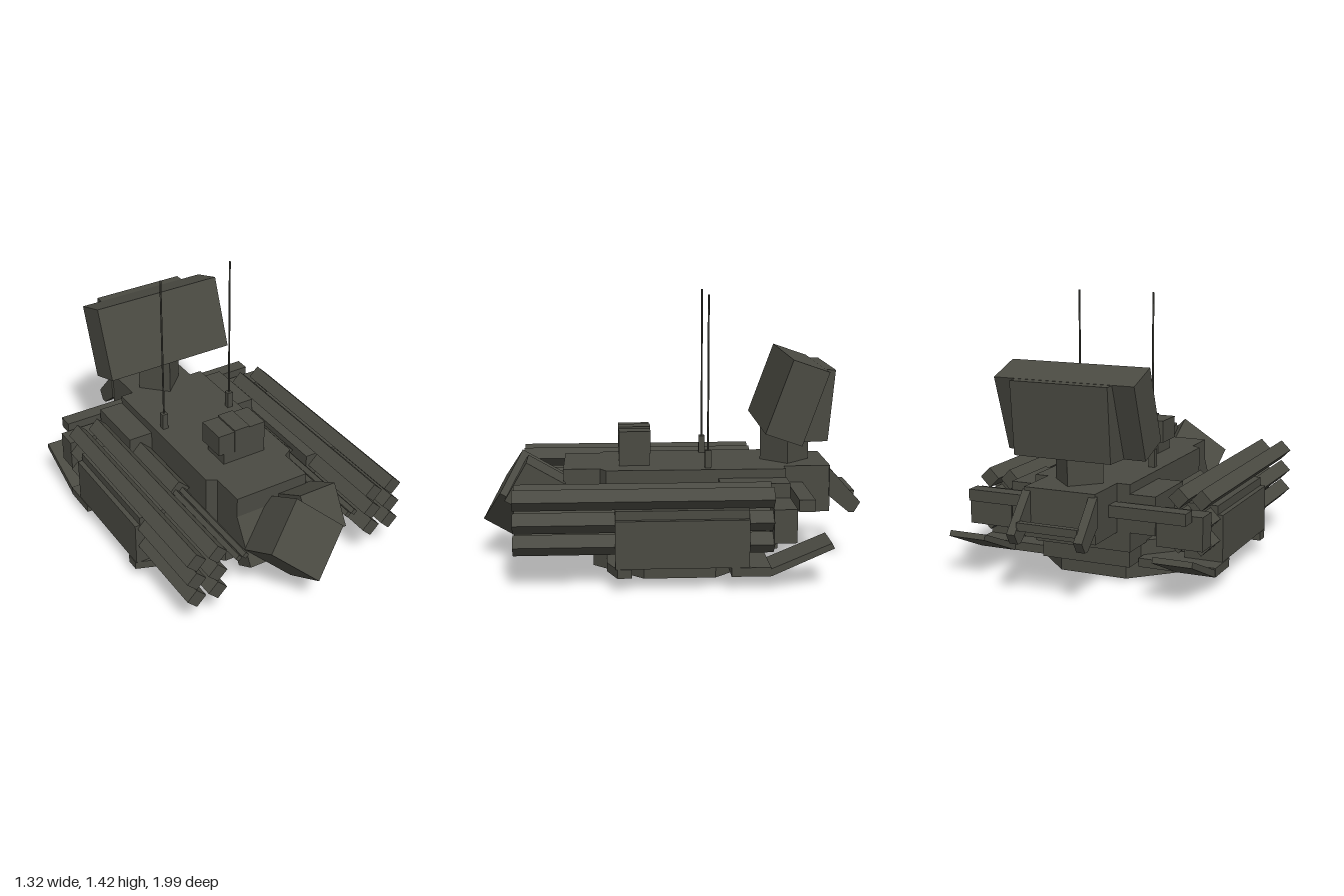
import * as THREE from 'three';

export function createModel() {
  const root = new THREE.Group();
  const olive = new THREE.MeshStandardMaterial({ color: 0x4a4a42 });
  olive.name = 'dark olive paint';

  const add = (name, geometry) => {
    const m = new THREE.Mesh(geometry, olive);
    m.name = name;
    root.add(m);
    return m;
  };
  // box given by its limits on each axis
  const box = (name, x0, x1, y0, y1, z0, z1) => {
    const m = add(name, new THREE.BoxGeometry(Math.abs(x1 - x0), y1 - y0, z1 - z0));
    m.position.set((x0 + x1) / 2, (y0 + y1) / 2, (z0 + z1) / 2);
    return m;
  };
  const extrude = (points, depth, hole) => {
    const shape = new THREE.Shape(points.map(p => new THREE.Vector2(p[0], p[1])));
    if (hole) shape.holes.push(new THREE.Path(hole.map(p => new THREE.Vector2(p[0], p[1]))));
    return new THREE.ExtrudeGeometry(shape, { depth, bevelEnabled: false });
  };
  // side profile of [z, y] points, extruded across x
  const sideProfile = (name, pts, x0, x1) => {
    const lo = Math.min(x0, x1), hi = Math.max(x0, x1);
    const g = extrude(pts.map(([z, y]) => [-z, y]), hi - lo).rotateY(Math.PI / 2);
    return add(name, g.translate(lo, 0, 0));
  };
  // plan outline of [x, z] points, extruded upward; a hole runs the other way round
  const plan = (name, pts, y0, y1, hole) => {
    const flip = a => a.map(([x, z]) => [x, -z]);
    const g = extrude(flip(pts), y1 - y0, hole && flip(hole).reverse()).rotateX(-Math.PI / 2);
    return add(name, g.translate(0, y0, 0));
  };
  // square tube standing on its edge, running along z
  const diamondTube = (name, x, y, half, z0, z1) => {
    const side = half * Math.SQRT2;
    const m = add(name, new THREE.BoxGeometry(side, side, z1 - z0));
    m.position.set(x, y, (z0 + z1) / 2);
    m.rotation.z = Math.PI / 4;
  };
  const octagon = (r, cz) => Array.from({ length: 8 }, (_, i) => {
    const a = (i + 0.5) * Math.PI / 4, R = r / Math.cos(Math.PI / 8);
    return [R * Math.cos(a), cz + R * Math.sin(a)];
  });

  // Turret ring with a recess underneath
  plan('turretRing', octagon(0.44, -0.03), 0, 0.12, octagon(0.2, -0.03));
  plan('turretRingTop', octagon(0.44, -0.03), 0.12, 0.19);

  // Hull
  plan('hull', [[-0.26, -0.59], [0.26, -0.59], [0.26, 0.34], [0.21, 0.37], [0.21, 0.56],
    [-0.21, 0.56], [-0.21, 0.37], [-0.26, 0.34]], 0.18, 0.522);
  box('lowerRearHull', -0.24, 0.24, 0.09, 0.27, -0.555, -0.2);
  box('rearHull', -0.19, 0.19, 0.275, 0.522, -0.835, -0.58);
  box('crossBar', -0.59, 0.59, 0.375, 0.435, -0.69, -0.61);

  // Tilted front sensor with its mount and side unit
  const tilted = (name, w, h, d, x, y, z, roll) => {
    const m = add(name, new THREE.BoxGeometry(w, h, d));
    m.position.set(x, y, z);
    m.rotation.set(-Math.PI / 6, 0, roll);
  };
  tilted('sensorHead', 0.306, 0.306, 0.28, 0, 0.33, 0.765, Math.PI / 4);
  tilted('sensorMount', 0.42, 0.33, 0.13, 0, 0.285, 0.557, 0);
  tilted('sensorSideUnit', 0.21, 0.23, 0.23, 0.147, 0.41, 0.705, 0);

  // Roof sight
  box('sightPedestal', -0.11, 0.14, 0.52, 0.585, 0.11, 0.27);
  box('sightHousing', -0.14, 0.14, 0.585, 0.703, 0.105, 0.27);
  box('sightCap', -0.045, 0.045, 0.58, 0.712, 0.103, 0.273);

  // Radar on its square mast, set corner forward
  const mast = add('radarMast', new THREE.CylinderGeometry(0.13, 0.13, 0.25, 4).toNonIndexed());
  mast.geometry.computeVertexNormals();
  mast.position.set(0, 0.635, -0.618);
  sideProfile('radarPanel', [[-0.605, 1.102], [-0.79, 1.038], [-0.655, 0.66], [-0.467, 0.725]], -0.37, 0.37);
  sideProfile('radarBack', [[-0.785, 1.037], [-0.84, 1.035], [-0.805, 0.665], [-0.65, 0.66]], -0.257, 0.257);

  // Rear frame
  box('rearFrameBar', -0.16, 0.16, 0.34, 0.38, -0.97, -0.935);

  for (const s of [-1, 1]) {
    sideProfile('rearFrameArm', [[-0.83, 0.51], [-0.997, 0.325], [-0.965, 0.272], [-0.935, 0.272], [-0.83, 0.36]],
      s * 0.155, s * 0.2);

    // Antenna
    box('antennaBase', s * 0.207 - 0.016, s * 0.207 + 0.016, 0.52, 0.615, -0.206, -0.174);
    const rod = add('antennaRod', new THREE.CylinderGeometry(0.005, 0.005, 0.81, 6));
    rod.position.set(s * 0.207, 1.013, -0.19);

    // Floor plates and rear flap
    plan('frontFloorPlate', [[s * 0.25, 0.22], [s * 0.25, 0.34], [s * 0.53, 0.34], [s * 0.66, 0.29], [s * 0.66, 0.22]], 0.07, 0.115);
    box('rearFloorPlate', s * 0.25, s * 0.66, 0.07, 0.115, -0.465, -0.27);
    sideProfile('rearFlap', [[-0.45, 0.07], [-0.45, 0.1], [-0.765, 0.232], [-0.778, 0.205], [-0.47, 0.07]], s * 0.455, s * 0.657);

    // Launcher housing, armour panel and end block
    const housing = extrude([[0.4, 0.4], [0.4, 0.24], [0.455, 0.185], [0.455, 0.115], [0.63, 0.115], [0.63, 0.4]]
      .map(([x, y]) => [s * x, y]), 0.66);
    add('launcherHousing', housing.translate(0, 0, -0.36));
    box('armourPanel', s * 0.63, s * 0.657, 0.115, 0.355, -0.36, 0.3);
    box('launcherEndBlock', s * 0.4, s * 0.64, 0.23, 0.4, -0.595, -0.48);

    // Launch tubes, two columns of three
    for (const x of [0.47, 0.59])
      for (const y of [0.45, 0.335, 0.225]) diamondTube('launchTube', s * x, y, 0.053, -0.485, 0.8);

    // Twin gun
    box('gunMount', s * 0.25, s * 0.395, 0.28, 0.475, -0.595, -0.24);
    diamondTube('gunBody', s * 0.33, 0.375, 0.063, -0.25, 0.18);
    for (const x of [0.31, 0.35]) diamondTube('gunBarrel', s * x, 0.375, 0.019, 0.17, 0.8);
  }
  return root;
}
